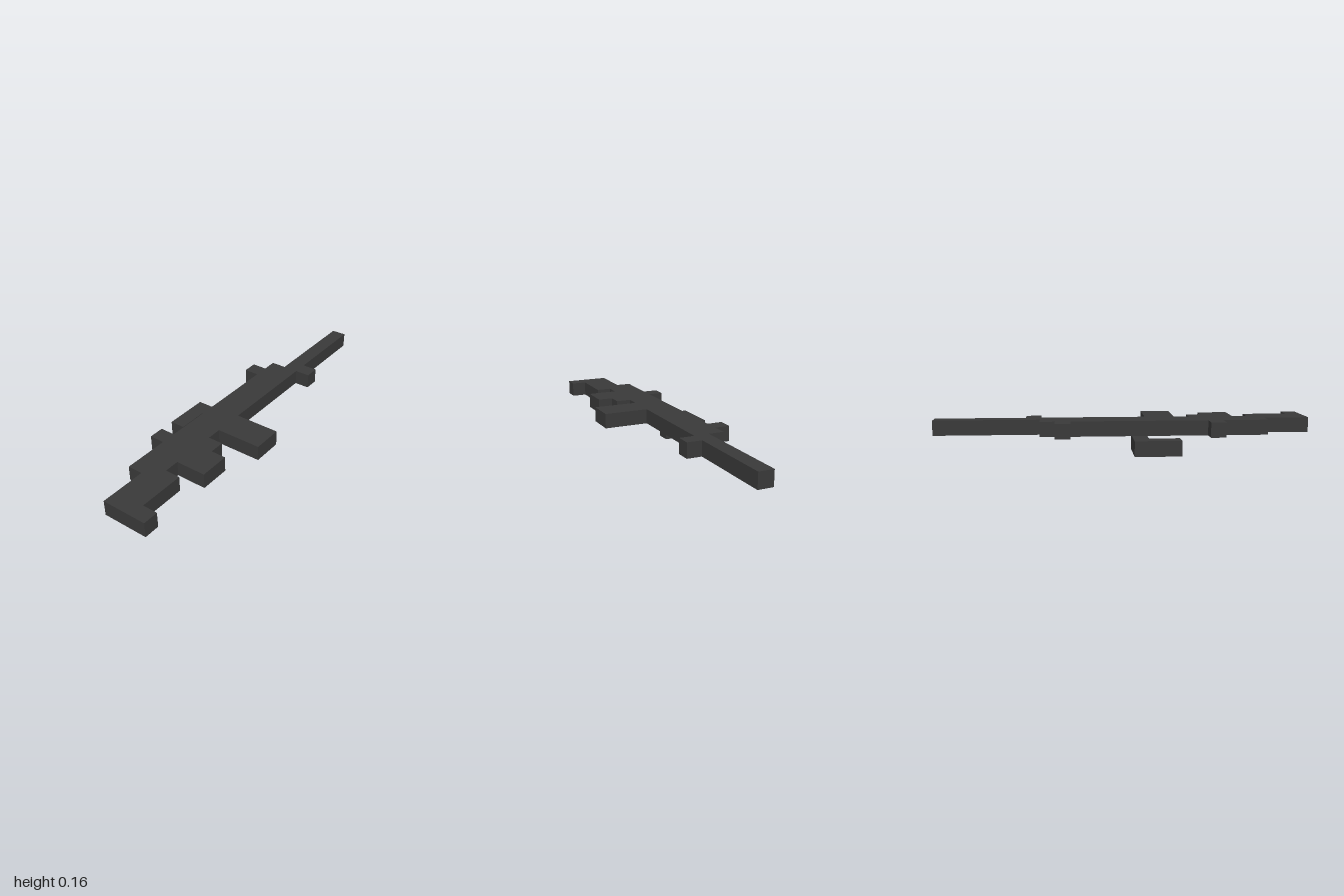
import * as THREE from 'three';

const U = 0.08; // side of one block

export function createModel() {
  const model = new THREE.Group();
  model.name = 'blockRifle';
  const gunmetal = new THREE.MeshStandardMaterial({ color: 0x3a3a3a });
  gunmetal.name = 'gunmetal';

  // One-block-thick slab from x0..x1 and z0..z1 on a given layer
  const slab = (name, x0, x1, z0, z1, layer = 1) => {
    const mesh = new THREE.Mesh(new THREE.BoxGeometry(x1 - x0, U, z1 - z0), gunmetal);
    mesh.position.set((x0 + x1) / 2, (layer + 0.5) * U, (z0 + z1) / 2);
    mesh.name = name;
    model.add(mesh);
  };

  // Rifle lying on its side: muzzle towards +x, sights towards -z
  slab('receiver', -0.76, 0.44, -0.12, 0.04);
  slab('barrel', 0.44, 1.0, -0.04, 0.04);

  // Shoulder stock
  slab('stockTop', -1.0, -0.76, -0.04, 0.04);
  slab('stockBottom', -1.0, -0.68, 0.04, 0.12);
  slab('stockToe', -1.0, -0.92, 0.12, 0.2);

  // Parts below the receiver
  slab('grip', -0.6, -0.44, 0.04, 0.2);
  slab('trigger', -0.44, -0.36, 0.04, 0.12);
  slab('magazine', -0.28, -0.12, 0.04, 0.28);
  slab('frontLug', 0.44, 0.52, 0.04, 0.12);

  // Sights
  slab('rearSight', -0.52, -0.44, -0.2, -0.12);
  slab('frontSight', 0.28, 0.36, -0.2, -0.12);

  // Side handle on the lower layer
  slab('handleStem', -0.12, -0.04, -0.2, -0.04, 0);
  slab('handleBar', -0.28, -0.04, -0.28, -0.2, 0);

  return model;
}
